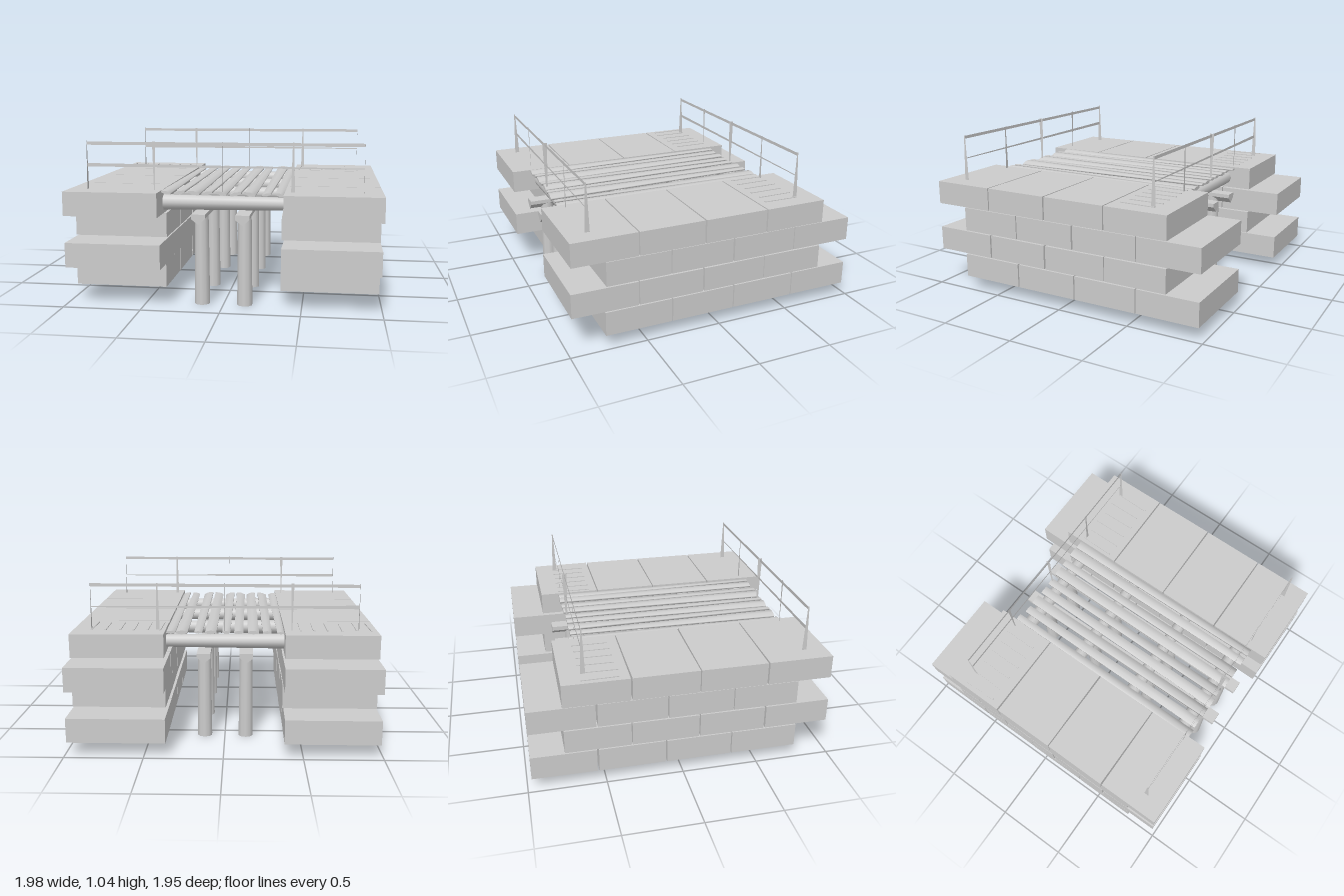
import * as THREE from 'three';

const stone = new THREE.MeshStandardMaterial({ color: 0xcccccc, side: THREE.DoubleSide });
stone.name = 'pale grey';

// Small repeatable jitter in -1..1
function makeRandom(seed) {
  let s = seed;
  return () => {
    s = (s * 16807) % 2147483647;
    return (s / 2147483647) * 2 - 1;
  };
}

function add(parent, name, geometry, x = 0, y = 0, z = 0) {
  const mesh = new THREE.Mesh(geometry, stone);
  mesh.name = name;
  mesh.position.set(x, y, z);
  parent.add(mesh);
  return mesh;
}

function group(parent, name) {
  const g = new THREE.Group();
  g.name = name;
  parent.add(g);
  return g;
}

// Flat four-cornered ribbon
function ribbon(a, b, c, d) {
  const geo = new THREE.BufferGeometry();
  geo.setAttribute('position', new THREE.Float32BufferAttribute([...a, ...b, ...c, ...d], 3));
  geo.setIndex([0, 1, 2, 0, 2, 3]);
  geo.computeVertexNormals();
  return geo;
}

export function createModel() {
  const model = new THREE.Group();
  model.name = 'footbridge';
  const rnd = makeRandom(4211);

  // Stone abutments: four staggered courses on each side
  const courses = [
    { y0: 0.087, y1: 0.245, cuts: [-0.975, -0.55, -0.11, 0.325, 0.77], inner: [-0.383, 0.362], outer: 0.985 },
    { y0: 0.252, y1: 0.41, cuts: [-0.76, -0.33, 0.11, 0.545, 0.98], inner: [-0.375, 0.378], outer: 0.985 },
    { y0: 0.417, y1: 0.575, cuts: [-0.98, -0.55, -0.1, 0.33, 0.76], inner: [-0.378, 0.364], outer: 0.984 },
    { y0: 0.581, y1: 0.735, cuts: [-0.76, -0.33, 0.105, 0.545, 0.975], inner: [-0.39, 0.387], outer: 0.99 },
  ];
  for (const side of [-1, 1]) {
    const abutment = group(model, side < 0 ? 'rightAbutment' : 'leftAbutment');
    for (const c of courses) {
      const inner = c.inner[side < 0 ? 0 : 1];
      const outer = side * c.outer;
      for (let i = 0; i < 4; i++) {
        const length = c.cuts[i + 1] - c.cuts[i] - 0.009;
        const block = add(abutment, 'stoneBlock',
          new THREE.BoxGeometry(Math.abs(outer - inner), c.y1 - c.y0, length),
          (inner + outer) / 2, (c.y0 + c.y1) / 2, (c.cuts[i] + c.cuts[i + 1]) / 2);
        block.rotation.y = rnd() * 0.007;
      }
    }
  }

  // Thin slats lying in the rear stones
  const slats = group(model, 'stoneSlats');
  for (const x of [-0.95, -0.86, -0.765, -0.67, -0.58, -0.495, 0.42, 0.505, 0.595, 0.685, 0.78, 0.87]) {
    const slat = add(slats, 'slat', new THREE.BoxGeometry(0.012, 0.01, 0.235), x, 0.735, -0.51 + rnd() * 0.01);
    slat.rotation.y = rnd() * 0.03;
  }

  // Piles and round crossbeams
  const supports = group(model, 'supports');
  for (const z of [-0.57, -0.14, 0.36, 0.797]) {
    for (const x of [-0.14, 0.135]) {
      add(supports, 'pile', new THREE.CylinderGeometry(0.044, 0.05, 0.575, 10), x, 0.2875, z);
    }
  }
  for (const z of [-0.56, -0.125, 0.335, 0.765]) {
    const beam = add(supports, 'crossbeam', new THREE.CylinderGeometry(0.042, 0.05, 0.785, 10), 0, 0.652, z);
    beam.rotation.z = -Math.PI / 2;
  }

  // Wedge-shaped girders on the piles
  for (const x of [-0.14, 0.135]) {
    const section = new THREE.Shape([
      new THREE.Vector2(-0.045, 0.57), new THREE.Vector2(0, 0.535),
      new THREE.Vector2(0.043, 0.575), new THREE.Vector2(0.043, 0.6), new THREE.Vector2(-0.045, 0.6),
    ]);
    add(supports, 'girder', new THREE.ExtrudeGeometry(section, { depth: 1.63, bevelEnabled: false }), x, 0, -0.71);
  }

  // Deck of split, slightly twisted poles
  const deck = group(model, 'deck');
  // Centre x, half width at the back and at the front
  const poles = [
    [-0.362, 0.026, 0.035], [-0.276, 0.032, 0.041], [-0.185, 0.041, 0.041],
    [-0.095, 0.034, 0.04], [-0.01, 0.03, 0.04], [0.087, 0.042, 0.04],
    [0.172, 0.03, 0.042], [0.278, 0.044, 0.032], [0.354, 0.034, 0.033],
  ];
  poles.forEach(([x, back, front], i) => {
    const length = 1.475 + rnd() * 0.015;
    const geo = new THREE.CylinderGeometry(front, back, length, 6, 4);
    geo.rotateX(Math.PI / 2);
    geo.scale(1, 0.3, 1);
    const p = geo.attributes.position;
    const tilt = (i % 2 ? 1 : -1) * 0.18;
    for (let k = 0; k < p.count; k++) {
      const a = tilt * (0.6 + p.getZ(k));
      const px = p.getX(k), py = p.getY(k);
      p.setXY(k, px * Math.cos(a) - py * Math.sin(a), px * Math.sin(a) + py * Math.cos(a));
    }
    geo.computeVertexNormals();
    const pole = add(deck, 'deckPole', geo, x, 0.722, 0.11 + rnd() * 0.008);
    pole.rotation.y = rnd() * 0.006;
  });

  // Slim railings, one at each edge of the deck
  for (const z of [0.825, -0.61]) {
    const railing = group(model, z > 0 ? 'frontRailing' : 'backRailing');
    add(railing, 'topRail', ribbon([-0.87, 1.016, 0], [0.87, 1.02, 0], [0.87, 1.04, 0], [-0.87, 1.036, 0]), 0, 0, z);
    add(railing, 'lowerRail', ribbon([-0.87, 0.878, 0], [0.87, 0.883, 0], [0.87, 0.889, 0], [-0.87, 0.9, 0]), 0, 0, z);
    // Posts: x, foot height, half width at foot and top, and whether the flat faces sideways
    const posts = [
      [-0.87, 0.73, 0.016, 0.004, true], [-0.437, 0.73, 0.003, 0.01, false],
      [0, 0.73, 0.006, 0.016, true],
      [0.437, 0.73, 0.012, 0.004, false], [0.87, 0.73, 0.016, 0.004, true],
    ];
    for (const [x, foot, w0, w1, sideways] of posts) {
      const geo = ribbon([-w0, foot, 0], [w0, foot, 0], [w1, 1.042, 0], [-w1, 1.042, 0]);
      if (sideways) geo.rotateY(Math.PI / 2);
      add(railing, 'railingPost', geo, x, 0, z);
    }
  }

  return model;
}
